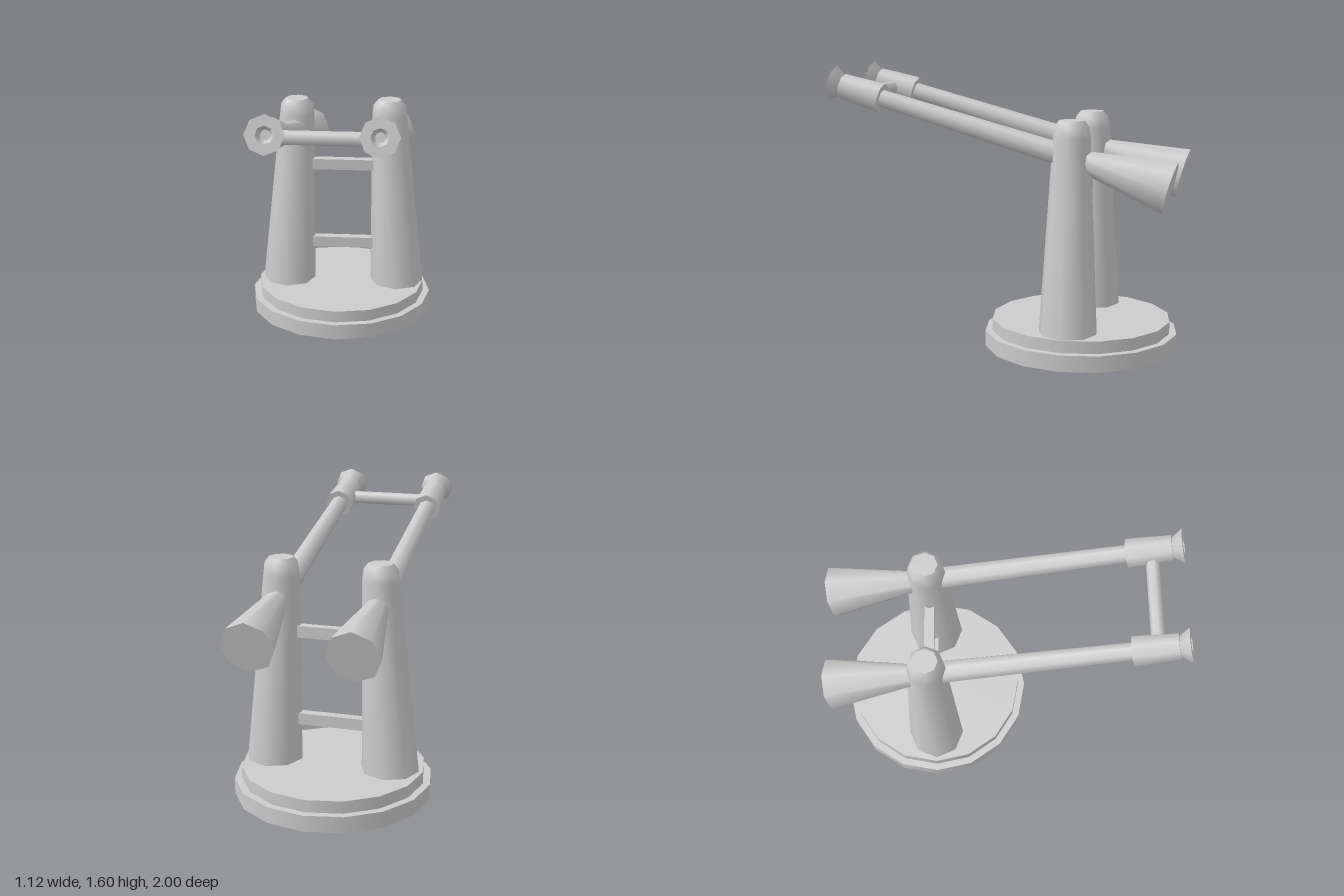
import * as THREE from 'three';
import { toCreasedNormals } from 'three/addons/utils/BufferGeometryUtils.js';

const material = new THREE.MeshStandardMaterial({ color: 0xcccccc });
const CENTRE_Z = -0.42;
const TILT = THREE.MathUtils.degToRad(15.2);

function part(name, geometry, parent, x = 0, y = 0, z = 0) {
  const mesh = new THREE.Mesh(geometry, material);
  mesh.name = name;
  mesh.position.set(x, y, z);
  parent.add(mesh);
  return mesh;
}

// Turned form from [radius, height] pairs, smooth around with sharp rims
function turned(points, sides = 8) {
  const profile = points.map(([r, y]) => new THREE.Vector2(r, y));
  return new THREE.LatheGeometry(profile, sides);
}
const crease = (geometry) => toCreasedNormals(geometry, 0.9);

// Tapered tower that leans so its inner edge stays vertical
function towerGeometry(side) {
  const geometry = turned([
    [0, 0.13], [0.166, 0.13], [0.105, 1.24], [0.097, 1.3], [0.07, 1.333], [0, 1.333],
  ]);
  const pos = geometry.attributes.position;
  for (let i = 0; i < pos.count; i++) {
    const lean = Math.max(0, (1.24 - pos.getY(i)) / 1.11) * 0.061;
    pos.setX(i, pos.getX(i) + side * lean);
  }
  return crease(geometry);
}

export function createModel() {
  const model = new THREE.Group();
  model.name = 'twinBarrelTurret';

  // Stepped base
  part('baseDisc', new THREE.CylinderGeometry(0.558, 0.558, 0.092, 16), model, 0, 0.046, CENTRE_Z);
  part('baseStep', new THREE.CylinderGeometry(0.517, 0.517, 0.072, 16), model, 0, 0.126, CENTRE_Z);

  const gun = new THREE.Group();
  gun.name = 'gun';
  gun.position.x = 0.01;
  model.add(gun);

  for (const side of [-1, 1]) {
    const label = side > 0 ? 'left' : 'right';
    part(label + 'Tower', towerGeometry(side), gun, side * 0.28, 0, CENTRE_Z);

    // Barrel assembly, its local +y pointing along the barrel
    const barrel = new THREE.Group();
    barrel.name = label + 'BarrelAssembly';
    barrel.position.set(side * 0.28, 1.128, CENTRE_Z);
    barrel.rotation.x = Math.PI / 2 - TILT;
    gun.add(barrel);

    part('barrel', new THREE.CylinderGeometry(0.049, 0.064, 1.2, 8), barrel, 0, 0.6, 0);
    part('sleeve', new THREE.CylinderGeometry(0.072, 0.085, 0.246, 8), barrel, 0, 1.262, 0);
    part('muzzle', crease(turned([
      [0, 1.36], [0.045, 1.37], [0.101, 1.444], [0.046, 1.444], [0.027, 1.39], [0, 1.39],
    ])), barrel);
    part('counterweight', new THREE.CylinderGeometry(0.048, 0.148, 0.56, 8), barrel, 0, -0.28, 0);
  }

  // Braces between the towers
  for (const y of [0.412, 0.922]) {
    part('brace', new THREE.BoxGeometry(0.39, 0.066, 0.055), gun, 0, y, CENTRE_Z);
  }

  // Rod joining the barrel sleeves
  const rod = part('barrelRod', new THREE.CylinderGeometry(0.038, 0.038, 0.48, 8), gun, 0, 1.448, 0.81);
  rod.rotation.z = Math.PI / 2;

  return model;
}
